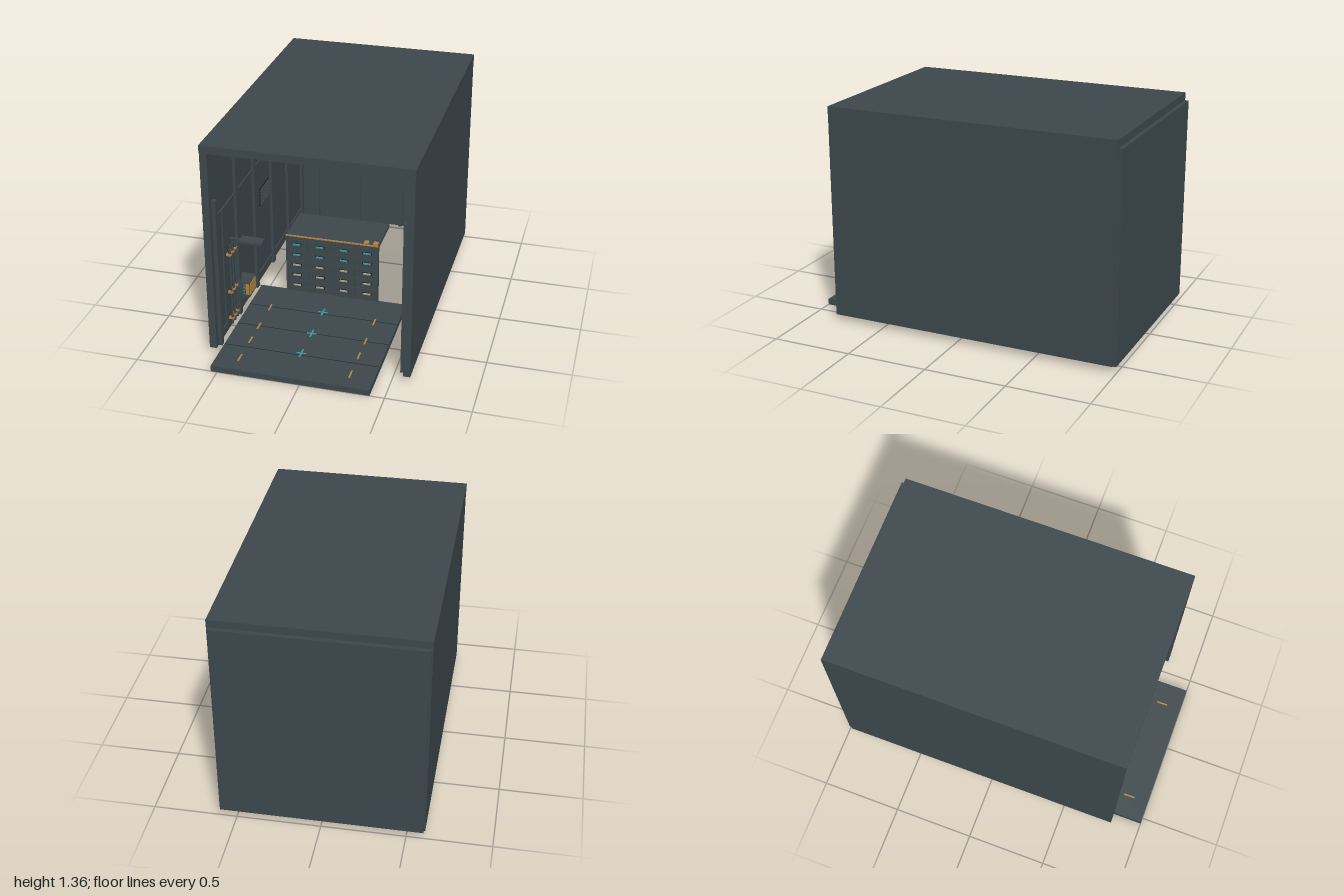
import * as THREE from 'three';

const mat = (name, color) => {
  const m = new THREE.MeshStandardMaterial({ color });
  m.name = name;
  return m;
};

export function createModel() {
  const slate = mat('slate metal', 0x3d484c);
  const dark = mat('dark recess', 0x1f2527);
  const amber = mat('amber trim', 0xb4843f);
  const cyan = mat('cyan light', 0x3f96a3);
  const cream = mat('pale handle', 0xa9a28c);

  const model = new THREE.Group();
  model.name = 'workshopBay';
  const group = (name) => {
    const g = new THREE.Group();
    g.name = name;
    model.add(g);
    return g;
  };
  // Box from its minimum and maximum on each axis
  const box = (parent, name, m, x0, x1, y0, y1, z0, z1) => {
    const b = new THREE.Mesh(new THREE.BoxGeometry(x1 - x0, y1 - y0, z1 - z0), m);
    b.position.set((x0 + x1) / 2, (y0 + y1) / 2, (z0 + z1) / 2);
    b.name = name;
    parent.add(b);
    return b;
  };

  // Shell, open at the front and underneath
  const shell = group('shell');
  box(shell, 'roof', slate, -0.61, 0.61, 1.308, 1.355, -0.975, 0.82);
  box(shell, 'backWall', slate, -0.6, 0.6, 0.04, 1.308, -1, -0.97);
  box(shell, 'backTopTrim', slate, -0.565, 0.565, 1.288, 1.308, -0.97, -0.94);
  for (const s of [-1, 1]) {
    const side = (name, m, a, b, ...rest) =>
      box(shell, name, m, Math.min(s * a, s * b), Math.max(s * a, s * b), ...rest);
    side('sideWall', slate, 0.565, 0.608, 0.04, 1.308, -0.98, 0.82);
    side('doorPost', slate, 0.542, 0.565, 0.04, 1.0, 0.755, 0.785);
    for (const z of [0.41, 0.08, -0.26, -0.6, -0.93])
      side('wallRib', slate, 0.547, 0.565, 0.04, 1.308, z - 0.018, z + 0.018);
    // Panel rails between ribs
    for (const y of [0.1, 0.87])
      side('wallRail', slate, 0.557, 0.565, y - 0.01, y + 0.01, -0.95, 0.78);
  }
  for (const x of [-0.45, -0.15, 0.15, 0.45])
    box(shell, 'backRib', slate, x - 0.015, x + 0.015, 0.04, 0.6, -0.97, -0.955);

  // Slatted vent on the right-hand wall
  const vent = group('wallVent');
  box(vent, 'ventRecess', dark, -0.565, -0.56, 0.56, 0.68, -0.22, -0.04);
  for (let i = 0; i < 5; i++)
    box(vent, 'ventSlat', slate, -0.56, -0.55, 0.57 + i * 0.023, 0.58 + i * 0.023, -0.22, -0.04);

  // Floor deck with seams and guide marks
  const deck = group('floorDeck');
  box(deck, 'deckPlate', slate, -0.538, 0.413, 0, 0.037, 0.05, 1);
  for (const z of [0.29, 0.52, 0.76])
    box(deck, 'deckSeam', dark, -0.535, 0.41, 0.037, 0.038, z - 0.002, z + 0.002);
  for (const z of [0.3, 0.52, 0.68, 0.875])
    for (const x of [-0.4, 0.27])
      box(deck, 'deckMark', amber, x - 0.005, x + 0.005, 0.037, 0.04, z - 0.035, z + 0.035);
  for (const z of [0.27, 0.52, 0.74]) {
    box(deck, 'centreMark', cyan, -0.07, -0.06, 0.037, 0.04, z - 0.04, z + 0.04);
    box(deck, 'centreCross', cyan, -0.095, -0.035, 0.037, 0.039, z - 0.005, z + 0.005);
  }

  // Grid of drawers with recessed handles on a front plane
  const drawers = (g, xs, ys, z, w, h, litRows) => {
    ys.forEach((y, r) => xs.forEach((x) => {
      box(g, 'drawerFront', slate, x - w / 2, x + w / 2, y - h / 2, y + h / 2, z, z + 0.004);
      box(g, 'handleRecess', dark, x - 0.031, x + 0.031, y - 0.009, y + 0.009, z, z + 0.006);
      box(g, 'handle', r < litRows ? cyan : cream, x - 0.025, x + 0.025, y - 0.004, y + 0.005, z, z + 0.014);
    }));
  };

  // Large drawer bench: front, posts and top
  const bench = group('drawerBench');
  box(bench, 'benchFront', slate, -0.35, 0.226, 0.04, 0.43, 0.045, 0.065);
  for (const x of [-0.36, 0.226])
    box(bench, 'benchPost', slate, x, x + 0.01, 0.04, 0.435, 0.045, 0.075);
  box(bench, 'benchTop', slate, -0.36, 0.236, 0.42, 0.441, -0.235, 0.07);
  box(bench, 'benchEdge', amber, -0.36, 0.236, 0.437, 0.444, 0.068, 0.077);
  drawers(bench, [-0.29, -0.14, 0.015, 0.165], [0.38, 0.308, 0.235, 0.163, 0.09], 0.065, 0.142, 0.066, 2);
  for (const x of [0.155, 0.215])
    box(bench, 'topTab', amber, x - 0.015, x + 0.015, 0.441, 0.45, 0.03, 0.06);

  // Wall cabinet at the back left
  const cabinet = group('wallCabinet');
  box(cabinet, 'cabinetBase', slate, 0.298, 0.536, 0.4, 0.445, -0.97, -0.64);
  box(cabinet, 'cabinetBody', slate, 0.308, 0.53, 0.445, 0.678, -0.97, -0.67);
  for (const x of [0.298, 0.526])
    box(cabinet, 'cabinetPost', slate, x, x + 0.01, 0.445, 0.68, -0.69, -0.66);
  box(cabinet, 'cabinetTop', slate, 0.298, 0.536, 0.67, 0.682, -0.97, -0.66);
  box(cabinet, 'cabinetEdge', amber, 0.298, 0.536, 0.678, 0.686, -0.66, -0.65);
  for (const x of [0.345, 0.4])
    box(cabinet, 'cabinetTab', amber, x - 0.015, x + 0.015, 0.445, 0.451, -0.66, -0.645);
  drawers(cabinet, [0.35, 0.483], [0.637, 0.565, 0.492], -0.67, 0.125, 0.066, 0);

  // Console on the back wall
  const console_ = group('backConsole');
  box(console_, 'consoleShelf', slate, -0.42, 0.298, 0.638, 0.685, -0.97, -0.7);
  box(console_, 'consoleHood', slate, -0.22, 0.1, 0.92, 1.19, -0.97, -0.78);
  box(console_, 'consoleBody', slate, -0.19, 0.115, 0.685, 0.92, -0.97, -0.86);
  box(console_, 'consoleDoor', slate, -0.165, 0.045, 0.688, 0.918, -0.86, -0.82);
  box(console_, 'hoodLatch', amber, -0.085, -0.04, 0.915, 0.921, -0.82, -0.775);
  box(console_, 'lightStrip', cyan, -0.172, -0.166, 0.72, 0.91, -0.86, -0.85);
  box(console_, 'lightStrip', cyan, 0.046, 0.05, 0.7, 0.72, -0.86, -0.85);
  for (const [a, b] of [[-0.36, -0.242], [0.118, 0.235]])
    box(console_, 'sidePanel', slate, a, b, 0.685, 0.923, -0.97, -0.8);
  for (const x of [-0.236, 0.112])
    box(console_, 'panelHinge', dark, x - 0.004, x + 0.004, 0.72, 0.91, -0.86, -0.83);
  box(console_, 'statusLight', cyan, 0.076, 0.1, 0.838, 0.852, -0.86, -0.852);

  // Hand wheel
  const wheel = group('handWheel');
  wheel.position.set(0.088, 0.8, -0.84);
  const ring = new THREE.Mesh(new THREE.TorusGeometry(0.022, 0.004, 6, 16), amber);
  ring.name = 'wheelRing';
  wheel.add(ring);
  for (let i = 0; i < 3; i++)
    box(wheel, 'wheelSpoke', amber, -0.022, 0.022, -0.002, 0.002, -0.002, 0.002).rotation.z = i * Math.PI / 3;
  box(wheel, 'wheelHub', dark, -0.007, 0.007, -0.007, 0.007, -0.025, 0.005);

  // Pipes and clamps on the right-hand wall
  const pipes = group('wallPipes');
  for (const z of [0.61, 0.565, 0.52]) {
    const p = new THREE.Mesh(new THREE.CylinderGeometry(0.007, 0.007, 0.54, 10), slate);
    p.position.set(-0.535, 0.36, z);
    p.name = 'pipe';
    pipes.add(p);
    for (const y of [0.13, 0.31, 0.565])
      box(pipes, 'pipeClamp', amber, -0.565, -0.525, y - 0.006, y + 0.006, z - 0.01, z + 0.01);
  }
  box(pipes, 'pipeBacking', slate, -0.565, -0.555, 0.1, 0.88, 0.48, 0.65);

  // Control box on the right-hand wall
  const control = group('controlBox');
  box(control, 'controlCase', slate, -0.565, -0.482, 0.18, 0.28, 0.32, 0.44);
  box(control, 'controlFace', amber, -0.482, -0.478, 0.195, 0.272, 0.33, 0.43);
  box(control, 'controlFront', amber, -0.505, -0.482, 0.2, 0.272, 0.44, 0.444);
  for (let i = 0; i < 4; i++)
    box(control, 'controlLight', cyan, -0.52, -0.512, 0.2 + i * 0.02, 0.208 + i * 0.02, 0.44, 0.444);

  // Small bracket shelves
  for (const [a, b, y, z, wall] of [[-0.49, -0.35, 0.637, 0.54, -0.56], [0.345, 0.485, 0.877, -0.9, 0]]) {
    const g = group('smallShelf');
    box(g, 'shelfBoard', slate, a, b, y - 0.008, y + 0.008, z - 0.035, z + 0.035);
    if (wall) box(g, 'shelfArm', slate, wall, a, y - 0.006, y + 0.004, z - 0.008, z + 0.008);
    else box(g, 'shelfArm', slate, a + 0.05, b - 0.05, y - 0.006, y + 0.004, -0.97, z - 0.03);
  }
  return model;
}
